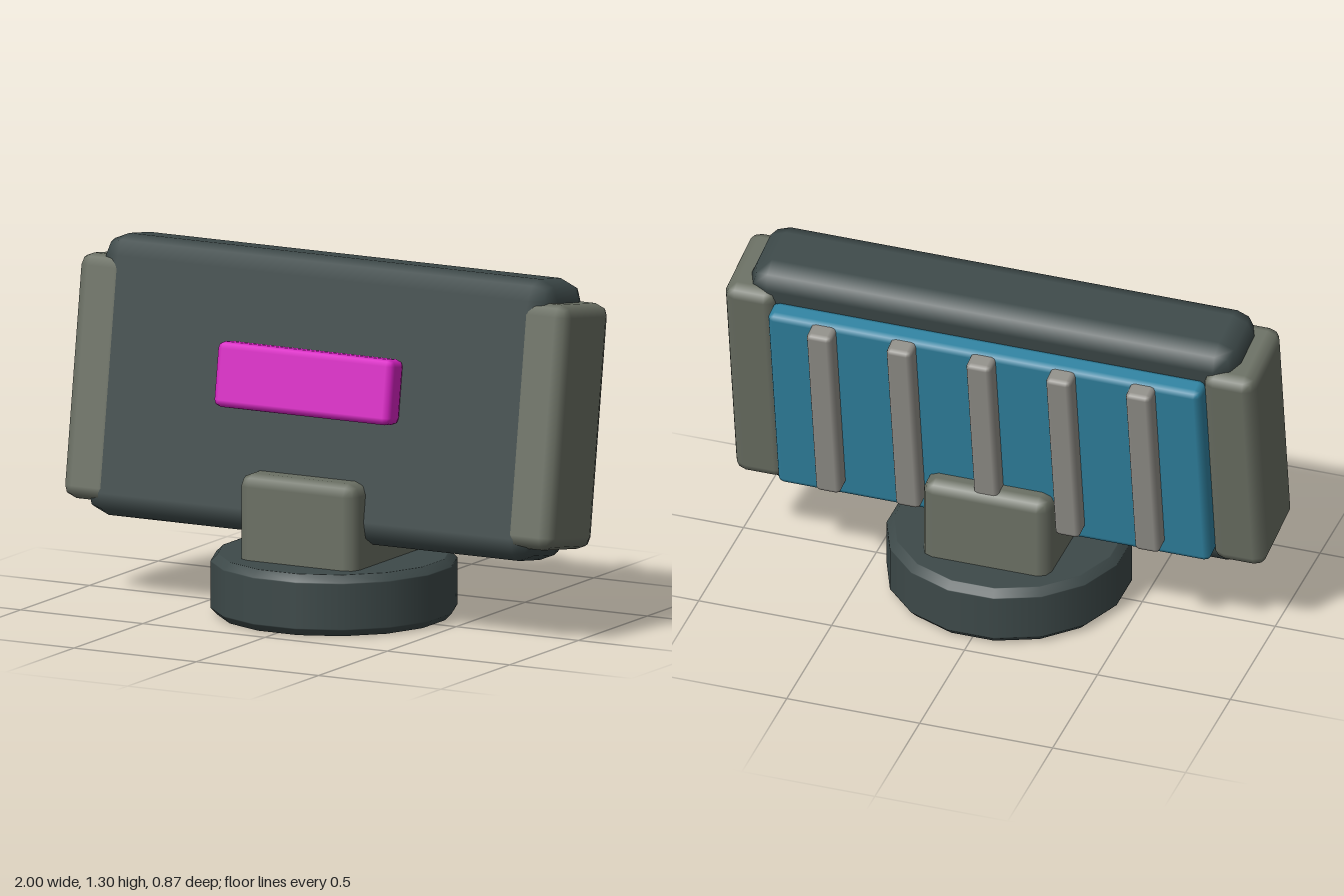
import * as THREE from 'three';

const material = (name, color) => {
  const m = new THREE.MeshStandardMaterial({ color });
  m.name = name;
  return m;
};

// Box whose edges are rounded in two steps, with smooth normals and flat faces
function bevelBox(w, h, d, r) {
  const geo = new THREE.BoxGeometry(1, 1, 1, 3, 3, 3);
  const pos = geo.attributes.position, nor = geo.attributes.normal;
  const p = new THREE.Vector3(), dir = new THREE.Vector3();
  const outer = (c) => (Math.abs(c) > 0.4 ? Math.sign(c) : 0);
  for (let i = 0; i < pos.count; i++) {
    p.fromBufferAttribute(pos, i);
    dir.set(outer(p.x), outer(p.y), outer(p.z)).normalize();
    pos.setXYZ(i,
      Math.sign(p.x) * (w / 2 - r) + dir.x * r,
      Math.sign(p.y) * (h / 2 - r) + dir.y * r,
      Math.sign(p.z) * (d / 2 - r) + dir.z * r);
    nor.setXYZ(i, dir.x, dir.y, dir.z);
  }
  return geo;
}

export function createModel() {
  const dark = material('dark slate', 0x3d4949);
  const olive = material('olive grey', 0x6b7064);
  const blue = material('teal blue', 0x3082a0);
  const grey = material('warm grey', 0x918f89);
  const magenta = material('magenta', 0xd822c4);

  const model = new THREE.Group();
  const add = (parent, name, geo, mat, x, y, z) => {
    const mesh = new THREE.Mesh(geo, mat);
    mesh.name = name;
    mesh.position.set(x, y, z);
    parent.add(mesh);
    return mesh;
  };

  // Round base with bevelled rims
  const R = 0.441, H = 0.222, b = 0.025;
  const profile = [
    [0, 0], [R - b - 0.004, 0], [R - b, 0], [R, b], [R, b + 0.004],
    [R, H - b - 0.004], [R, H - b], [R - b, H], [R - b - 0.004, H], [0, H],
  ].map(([x, y]) => new THREE.Vector2(x, y));
  add(model, 'base', new THREE.LatheGeometry(profile, 16, Math.PI / 16), dark, 0, 0, 0);

  // Bracket between base and head
  add(model, 'bracket', bevelBox(0.48, 0.41, 0.566, 0.045), olive, 0, 0.327, 0);

  // Head, leaning back
  const head = new THREE.Group();
  head.name = 'head';
  head.position.set(0, 0.77, -0.015);
  head.rotation.x = -0.15;
  model.add(head);

  add(head, 'body', bevelBox(1.84, 1.01, 0.31, 0.08), dark, 0, 0.015, 0.012);
  for (const side of [-1, 1]) {
    add(head, side > 0 ? 'leftEndCap' : 'rightEndCap',
      bevelBox(0.2, 0.88, 0.34, 0.045), olive, side * 0.9, 0, 0);
  }
  add(head, 'frontPlate', bevelBox(0.72, 0.235, 0.1, 0.025), magenta, 0, 0.068, 0.212);

  // Back panel with vertical ribs
  add(head, 'backPanel', bevelBox(1.63, 0.8, 0.09, 0.025), blue, 0, 0, -0.181);
  for (let i = -2; i <= 2; i++) {
    add(head, 'rib', bevelBox(0.095, 0.74, 0.08, 0.018), grey, i * 0.3, 0.025, -0.247);
  }
  return model;
}
